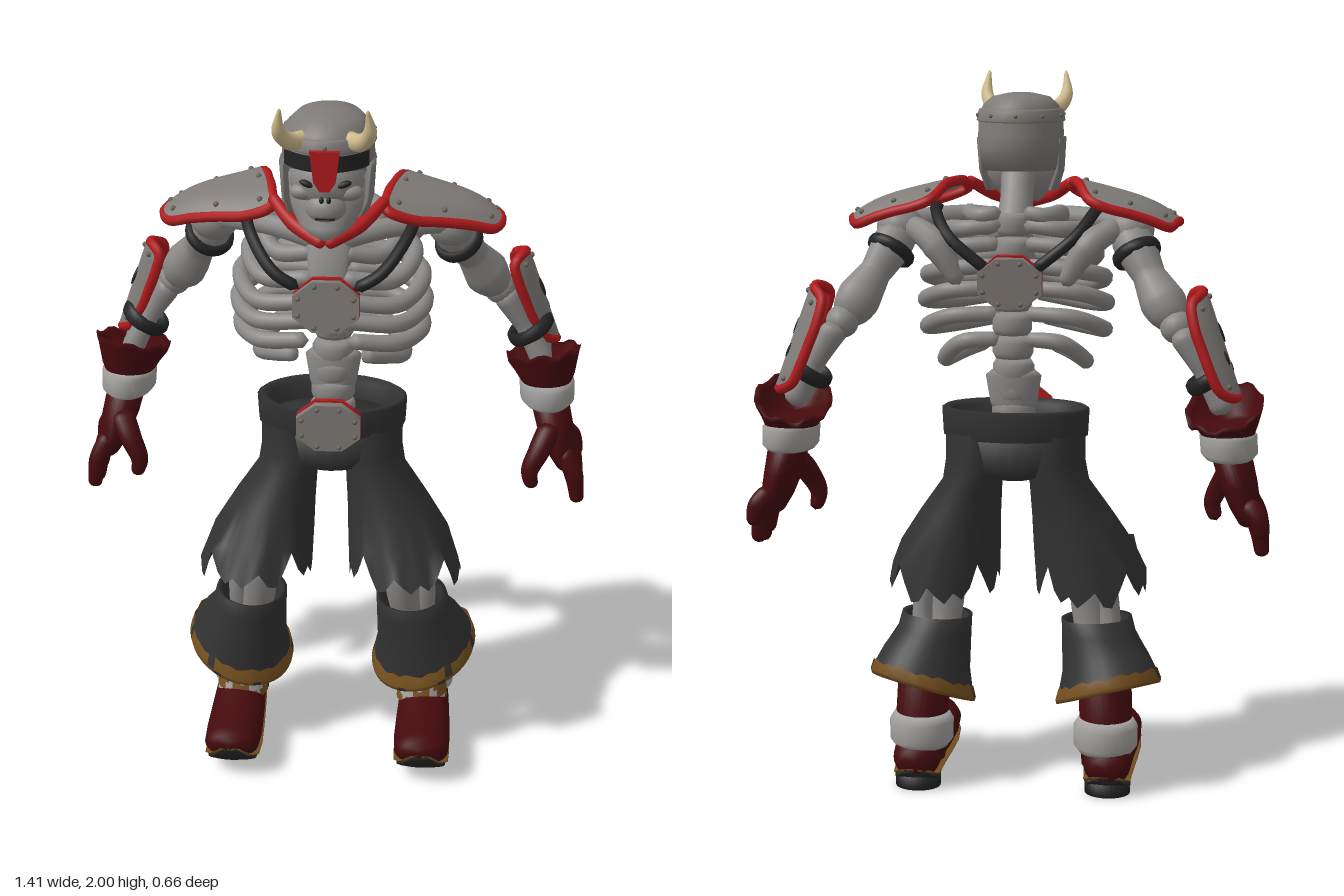
import * as THREE from 'three';
import { mergeVertices } from 'three/addons/utils/BufferGeometryUtils.js';

const paint = (name, color, double) => Object.assign(new THREE.MeshStandardMaterial({ color }),
  { name, side: double ? THREE.DoubleSide : THREE.FrontSide });
const bone = paint('bone', 0x8b8987), steel = paint('steel', 0x7f7b78, true), pale = paint('pale band', 0xa4a2a0);
const red = paint('red trim', 0xb01a1c), wine = paint('dark red leather', 0x450a0d, true);
const cloth = paint('dark cloth', 0x323232, true), black = paint('black leather', 0x232324);
const horn = paint('horn', 0xcfba8c), brown = paint('worn brown', 0x76501f, true), brass = paint('rivet metal', 0x6b6358);
const V = (a) => new THREE.Vector3(...a);

function add(parent, name, geo, mat, pos = [0, 0, 0], scale = [1, 1, 1], rot = [0, 0, 0]) {
  const m = new THREE.Mesh(geo, mat);
  m.name = name;
  m.position.set(...pos); m.scale.set(...scale); m.rotation.set(...rot);
  parent.add(m);
  return m;
}
const ball = (p, name, mat, pos, scale) => add(p, name, new THREE.SphereGeometry(1, 18, 12), mat, pos, scale);
const rivet = (p, pos, r = 0.008) => add(p, 'rivet', new THREE.SphereGeometry(r, 8, 6), brass, pos);

// Skin over elliptical rings [x, y, z, rx, rz], listed upwards; warp(p, j, i) may move a point
function loft(rings, { seg = 28, cap = true, warp } = {}) {
  if (cap) {
    const end = (r) => [r[0], r[1], r[2], 0.001, 0.001];
    rings = [end(rings[0]), ...rings, end(rings[rings.length - 1])];
  }
  const pos = [], idx = [];
  rings.forEach(([x, y, z, rx, rz], i) => {
    for (let j = 0; j < seg; j++) {
      const a = j / seg * Math.PI * 2, p = V([x + Math.cos(a) * rx, y, z + Math.sin(a) * rz]);
      if (warp) warp(p, j, i);
      pos.push(p.x, p.y, p.z);
      if (i === rings.length - 1) continue;
      const q = i * seg + j, r = i * seg + (j + 1) % seg;
      idx.push(q, q + seg, r, r, q + seg, r + seg);
    }
  });
  const g = new THREE.BufferGeometry();
  g.setAttribute('position', new THREE.Float32BufferAttribute(pos, 3));
  g.setIndex(idx);
  g.computeVertexNormals();
  return g;
}

// Worn paint: give a share of a loft's faces the first material, the rest the second
function patchy(g, share) {
  for (let q = 0; q < g.index.count / 6; q++) g.addGroup(q * 6, 6, (q * q * 3 + q * 5 + (q >> 4) * 7) % 23 < 23 * share ? 0 : 1);
  return g;
}

// Round-ended tube with changing radius along a smooth path
function limb(pts, radii, closed = false, n = 26, seg = 10) {
  const curve = new THREE.CatmullRomCurve3(pts.map(V), closed), len = curve.getLength();
  const g = new THREE.TubeGeometry(curve, n, 1, seg, closed), P = g.attributes.position, p = V([0, 0, 0]);
  for (let i = 0; i < P.count; i++) {
    const t = Math.floor(i / (seg + 1)) / n, c = curve.getPointAt(t), f = t * (radii.length - 1);
    const k = Math.min(Math.floor(f), radii.length - 1), r0 = radii[k], r1 = radii[Math.min(k + 1, radii.length - 1)];
    let r = r0 + (r1 - r0) * (f - k);
    const d = len * Math.min(t, 1 - t);
    if (!closed && d < r) r *= Math.sqrt(1 - (1 - d / r) ** 2);
    p.fromBufferAttribute(P, i).sub(c).multiplyScalar(r).add(c);
    P.setXYZ(i, p.x, p.y, p.z);
  }
  g.deleteAttribute('uv'); g.deleteAttribute('normal');
  const m = mergeVertices(g, 1e-5);
  m.computeVertexNormals();
  return m;
}

// Curved armour sheet fn(u, v) with rounded corners, a red rim set behind it by back, and rivets
function armour(parent, name, sheet, back, rivets) {
  const grp = new THREE.Group();
  grp.name = name;
  const fn = (u, v) => {
    const a = 2 * u - 1, b = 2 * v - 1;
    return sheet(0.5 + a * 0.5 * (1 - 0.1 * b ** 4), 0.5 + b * 0.5 * (1 - 0.1 * a ** 4));
  };
  const g = new THREE.PlaneGeometry(1, 1, 14, 14), P = g.attributes.position;
  for (let i = 0; i < P.count; i++) P.setXYZ(i, ...fn(P.getX(i) + 0.5, P.getY(i) + 0.5));
  g.computeVertexNormals();
  add(grp, name + 'Plate', g, steel);
  const edge = [], s = [0.03, 0.25, 0.5, 0.75];
  s.forEach((t) => edge.push(fn(t, 0)));
  s.forEach((t) => edge.push(fn(1, t)));
  s.forEach((t) => edge.push(fn(1 - t, 1)));
  s.forEach((t) => edge.push(fn(0, 1 - t)));
  add(grp, name + 'Rim', limb(edge.map((p) => p.map((c, i) => c + back[i])), [0.014, 0.014], true, 72, 8), red);
  rivets.forEach(([u, v]) => rivet(grp, fn(u, v)));
  parent.add(grp);
}

// Eight-sided plate with red backing
function badge(parent, name, pos, tilt, turn = 0) {
  const grp = new THREE.Group();
  grp.name = name;
  const disc = (r, h) => new THREE.CylinderGeometry(r, r, h, 8).rotateY(Math.PI / 8).rotateX(Math.PI / 2);
  add(grp, name + 'Face', disc(0.09, 0.022), steel, [0, 0, 0.006], [1.04, 0.82, 1]);
  add(grp, name + 'Backing', disc(0.09, 0.014), red, [0, 0, -0.012], [1.04, 0.88, 1]);
  for (let i = 0; i < 8; i++) {
    const a = (i + 0.5) * Math.PI / 4;
    rivet(grp, [Math.cos(a) * 0.078, Math.sin(a) * 0.06, 0.018], 0.007);
  }
  grp.position.set(...pos); grp.rotation.set(tilt, turn, 0);
  parent.add(grp);
}

function ring(parent, name, mat, pos, dir, r, tube, flat = 1) {
  const m = add(parent, name, new THREE.TorusGeometry(r, tube, 8, 24), mat, pos, [1, 1, flat]);
  m.quaternion.setFromUnitVectors(V([0, 0, 1]), V(dir).normalize());
}

function buildHead(g) {
  add(g, 'helmet', loft([[0, 1.735, 0.115, 0.1, 0.08], [0, 1.8, 0.13, 0.116, 0.112], [0, 1.83, 0.152, 0.119, 0.13],
    [0, 1.875, 0.152, 0.117, 0.13], [0, 1.91, 0.148, 0.105, 0.12], [0, 1.933, 0.142, 0.08, 0.095], [0, 1.943, 0.14, 0.035, 0.05]]), steel);
  add(g, 'helmetBand', loft([[0, 1.866, 0.152, 0.119, 0.132], [0, 1.87, 0.152, 0.123, 0.137], [0, 1.898, 0.151, 0.117, 0.132],
    [0, 1.902, 0.15, 0.108, 0.123]], { cap: false }), steel);
  for (let i = 0; i < 10; i++) {
    const a = (i + 0.5) * Math.PI / 5;
    rivet(g, [Math.cos(a) * 0.12, 1.884, 0.151 + Math.sin(a) * 0.134], 0.006);
  }
  // Visor slots and nose guard
  for (const a of [-1.05, 0.25])
    add(g, 'visorSlot', new THREE.CylinderGeometry(0.124, 0.124, 0.042, 12, 1, true, a, 0.8), black, [0, 1.843, 0.152], [1, 1, 1.09]);
  const nose = new THREE.Shape([[-0.038, 0.05], [0.038, 0.05], [0.028, -0.03], [0.012, -0.055], [-0.012, -0.055], [-0.028, -0.03]].map((p) => new THREE.Vector2(...p)));
  add(g, 'noseGuard', new THREE.ExtrudeGeometry(nose, { depth: 0.014, bevelEnabled: false }), red, [0, 1.83, 0.284]);
  // Skull face
  ball(g, 'skull', bone, [0, 1.775, 0.175], [0.102, 0.085, 0.1]);
  ball(g, 'muzzle', bone, [0, 1.715, 0.235], [0.055, 0.045, 0.052]);
  add(g, 'jaw', loft([[0, 1.64, 0.24, 0.045, 0.045], [0, 1.67, 0.215, 0.075, 0.07], [0, 1.715, 0.18, 0.1, 0.08], [0, 1.79, 0.17, 0.108, 0.08]]), bone);
  add(g, 'mouth', new THREE.BoxGeometry(0.05, 0.004, 0.02), black, [0, 1.698, 0.276]);
  for (const s of [-1, 1]) {
    add(g, 'eyeSocket', new THREE.SphereGeometry(1, 12, 8), black, [s * 0.045, 1.783, 0.26], [0.022, 0.009, 0.011], [0, 0, s * 0.3]);
    ball(g, 'cheekbone', bone, [s * 0.058, 1.755, 0.235], [0.035, 0.022, 0.027]);
    ball(g, 'nostril', black, [s * 0.009, 1.745, 0.275], [0.006, 0.009, 0.007]);
    add(g, 'cheekGuard', loft([[s * 0.088, 1.675, 0.175, 0.014, 0.03], [s * 0.106, 1.73, 0.175, 0.012, 0.055], [s * 0.111, 1.82, 0.17, 0.012, 0.07]]), steel);
    add(g, 'horn', limb([[s * 0.045, 1.893, 0.22], [s * 0.085, 1.895, 0.265], [s * 0.112, 1.93, 0.3], [s * 0.108, 2, 0.325]],
      [0.024, 0.023, 0.017, 0.003]), horn);
    add(g, 'chinTrim', limb([[s * 0.15, 1.705, 0.14], [s * 0.085, 1.66, 0.22], [0, 1.628, 0.283]], [0.015, 0.019, 0.016]), red);
  }
  add(g, 'neck', limb([[0, 1.57, -0.03], [0, 1.66, 0.04], [0, 1.76, 0.12]], [0.05, 0.045, 0.05]), bone);
}

function buildTorso(g) {
  const spine = new THREE.CatmullRomCurve3([[0, 1.03, -0.02], [0, 1.2, -0.03], [0, 1.4, -0.07], [0, 1.6, -0.03]].map(V));
  for (let i = 0; i < 10; i++) {
    const p = spine.getPoint(i / 9), r = 0.062 - i * 0.0015;
    add(g, 'vertebra', loft([[0, -0.03, 0, r * 0.85, r * 0.7], [0, -0.015, 0, r, r * 0.85], [0, 0.015, 0, r, r * 0.85], [0, 0.03, 0, r * 0.85, r * 0.7]], { seg: 16 }), bone, p.toArray());
  }
  add(g, 'lumbarBlock', loft([[0, 1.09, -0.025, 0.058, 0.04], [0, 1.11, -0.025, 0.065, 0.045], [0, 1.185, -0.03, 0.077, 0.048], [0, 1.2, -0.03, 0.06, 0.04]]), bone);
  // Ribs: back, side and front heights, half width, front depth, inner end
  const ribs = [[1.635, 1.625, 1.6, 0.125, 0.12, 0.03], [1.6, 1.58, 1.56, 0.18, 0.16, 0.03], [1.55, 1.52, 1.5, 0.22, 0.19, 0.03], [1.49, 1.455, 1.44, 0.243, 0.205, 0.03],
    [1.43, 1.385, 1.385, 0.25, 0.205, 0.03], [1.36, 1.31, 1.32, 0.245, 0.185, 0.05], [1.29, 1.22, 1.255, 0.195, 0.13, 0.085]];
  for (const s of [-1, 1]) {
    for (const [yb, ym, yf, w, zf, e] of ribs)
      add(g, 'rib', limb([[s * 0.03, yb, -0.06], [s * w * 0.7, yb - 0.01, -0.065], [s * w, ym, 0.02], [s * w * 0.78, yf - 0.02, zf - 0.05], [s * e, yf, zf]],
        [0.02, 0.023, 0.023, 0.023, 0.021], false, 30, 10), bone);
    add(g, 'collarbone', limb([[s * 0.02, 1.59, 0.15], [s * 0.14, 1.61, 0.11], [s * 0.31, 1.6, 0.02]], [0.03, 0.027, 0.03]), bone);
    add(g, 'shoulderBlade', limb([[s * 0.29, 1.6, -0.03], [s * 0.21, 1.55, -0.075], [s * 0.14, 1.44, -0.085]], [0.03, 0.04, 0.02]), bone);
    add(g, 'strap', limb([[s * 0.07, 1.49, 0.24], [s * 0.14, 1.53, 0.225], [s * 0.21, 1.61, 0.13], [s * 0.22, 1.635, 0.02], [s * 0.17, 1.57, -0.09], [s * 0.06, 1.48, -0.11]],
      [0.016, 0.016], false, 36), black);
  }
  add(g, 'sternum', loft([[0, 1.34, 0.19, 0.025, 0.015], [0, 1.46, 0.205, 0.045, 0.018], [0, 1.6, 0.15, 0.06, 0.02]]), bone);
  badge(g, 'chestBadge', [0, 1.446, 0.247], -0.08);
  badge(g, 'backBadge', [0, 1.45, -0.118], -0.1, Math.PI);
}

function buildArm(g) {
  // Shoulder plate arched front to back, sloping outwards
  const mix = (a, b, t) => a + (b - a) * t;
  armour(g, 'shoulderPlate', (u, v) => {
    const c = Math.abs(2 * v - 1) ** 3;
    return [mix(mix(0.205, 0.435, u), mix(0.135, 0.455, u), v), mix(1.72, 1.655, u) - c * 0.045 * (1 - 0.3 * u) - 0.035 * u ** 5, mix(mix(-0.13, -0.075, u), mix(0.185, 0.06, u), v)];
  }, [-0.003, -0.011, 0], [[0.1, 0.1], [0.1, 0.9], [0.9, 0.12], [0.9, 0.88], [0.5, 0.08], [0.5, 0.92], [0.95, 0.5], [0.08, 0.5]]);
  ball(g, 'shoulderJoint', bone, [0.315, 1.585, -0.005], [0.065, 0.06, 0.065]);
  add(g, 'upperArm', limb([[0.3, 1.6, 0], [0.36, 1.49, -0.07], [0.45, 1.34, -0.15]], [0.055, 0.058, 0.045, 0.063, 0.05]), bone);
  ring(g, 'armStrap', black, [0.335, 1.525, -0.04], [0.4, -0.75, -0.45], 0.057, 0.012, 1.5);
  ball(g, 'elbow', bone, [0.45, 1.345, -0.155], [0.045, 0.045, 0.05]);
  for (const z of [-0.14, -0.195])
    add(g, 'forearmBone', limb([[0.455, 1.345, z], [0.52, 1.24, z - 0.005], [0.585, 1.12, z]], [0.038, 0.026, 0.036]), bone);
  ring(g, 'forearmStrap', black, [0.54, 1.215, -0.178], [0.55, -0.83, 0], 0.058, 0.012, 1.8);
  const guard = (u, v) => {
    const w = 2 * u - 1, h = 2 * v - 1;
    return [0.59 - 0.115 * v + 0.045 * (1 - w * w) + 0.01 * h, 1.31 + 0.135 * h * (1 - 0.08 * w * w) - 0.01 * w, -0.197 - w * 0.066 * (1 - 0.2 * h ** 4) + 0.016 * h];
  };
  armour(g, 'forearmGuard', guard, [-0.011, -0.003, 0], [[0.14, 0.1], [0.86, 0.1], [0.14, 0.9], [0.86, 0.9], [0.5, 0.95]]);
  for (const [u, v, r] of [[0.42, 0.6, 0.02], [0.65, 0.38, 0.014], [0.35, 0.25, 0.011]])
    add(g, 'wornSpot', new THREE.SphereGeometry(r, 7, 6), black, guard(u, v), [0.25, 1.5, 0.9], [0, 0, 0.4]);
  // Glove, its flared cuff dipping to the back
  add(g, 'gloveCuff', loft([[0.59, 1.06, -0.175, 0.07, 0.09], [0.585, 1.09, -0.18, 0.085, 0.105], [0.58, 1.125, -0.193, 0.1, 0.13], [0.58, 1.142, -0.195, 0.104, 0.138],
    [0.58, 1.13, -0.193, 0.088, 0.115], [0.585, 1.1, -0.18, 0.07, 0.09], [0.585, 1.1, -0.18, 0.001, 0.001]],
  { seg: 32, cap: false, warp: (p, j, i) => { if (i > 1 && i < 5) p.y += 0.28 * (p.z + 0.195) + 0.15 * (p.x - 0.58) + (j % 4 < 2 ? 0.005 : -0.005); } }), wine);
  add(g, 'wristBand', loft([[0.595, 0.998, -0.17, 0.064, 0.09], [0.595, 1.012, -0.17, 0.076, 0.106], [0.592, 1.06, -0.172, 0.077, 0.108], [0.59, 1.076, -0.173, 0.066, 0.094]]), pale);
  add(g, 'palm', loft([[0.652, 0.82, -0.15, 0.03, 0.075], [0.64, 0.86, -0.15, 0.042, 0.098], [0.62, 0.93, -0.15, 0.052, 0.098], [0.6, 1.01, -0.17, 0.055, 0.08]]), wine);
  [-0.065, -0.125, -0.185, -0.24].forEach((z, i) => {
    const d = [0, -0.01, 0, 0.06][i];
    add(g, 'finger', limb([[0.64, 0.89, -0.15 + (z + 0.15) * 0.8], [0.675, 0.82 + d * 0.5, z], [0.69, 0.73 + d, z + 0.004]], [0.028, 0.027, 0.019]), wine);
  });
  add(g, 'thumb', limb([[0.61, 0.96, -0.09], [0.575, 0.9, -0.04], [0.55, 0.84, -0.025], [0.562, 0.79, -0.03]], [0.035, 0.032, 0.026, 0.018]), wine);
}

function buildLeg(g) {
  // Torn trouser leg
  const tear = [0.07, 0.01, -0.02, 0, -0.03, -0.01, 0.015, -0.025, -0.03, 0.02];
  add(g, 'trouserLeg', loft([[0.21, 0.625, 0.078, 0.157, 0.187], [0.19, 0.69, 0.062, 0.142, 0.162], [0.16, 0.78, 0.045, 0.115, 0.134], [0.122, 0.88, 0.03, 0.083, 0.115], [0.1, 0.94, 0.02, 0.095, 0.113], [0.1, 1.02, 0.02, 0.095, 0.105]],
    { seg: 40, cap: false, warp: (p, j, i) => { if (i === 0) p.y += tear[(j + 5) % 10] + 0.14 * (p.z - 0.08) - 0.08 * (p.x - 0.21) * (p.x < 0.21 ? -0.7 : 1) - 0.02; } }), cloth);
  add(g, 'thighBone', limb([[0.11, 0.95, 0.02], [0.17, 0.78, 0.04], [0.21, 0.6, 0.065]], [0.05, 0.045, 0.07]), bone);
  ball(g, 'knee', bone, [0.21, 0.6, 0.068], [0.072, 0.06, 0.068]);
  add(g, 'shinBone', limb([[0.2, 0.6, 0.07], [0.205, 0.48, 0.06], [0.245, 0.25, 0.0]], [0.055, 0.042, 0.045]), bone);
  add(g, 'calfBone', limb([[0.26, 0.58, 0.03], [0.268, 0.48, 0.03], [0.26, 0.25, -0.02]], [0.028, 0.03, 0.028]), bone);
  // Wide boot cuff, hem tilted
  const tilt = (p, k) => { p.y += k * ((p.x - 0.26) * 0.26 - (p.z - 0.015) * 0.3); };
  add(g, 'bootCuff', loft([[0.264, 0.3, 0.015, 0.14, 0.14], [0.255, 0.36, 0.03, 0.122, 0.124], [0.235, 0.44, 0.045, 0.105, 0.106], [0.228, 0.485, 0.05, 0.1, 0.1], [0.228, 0.478, 0.05, 0.086, 0.086], [0.235, 0.4, 0.04, 0.08, 0.08]],
    { cap: false, warp: (p, j, i) => tilt(p, i < 2 ? 1 : 0.2) }), cloth);
  add(g, 'cuffHem', patchy(loft([[0.264, 0.285, 0.015, 0.125, 0.125], [0.265, 0.265, 0.014, 0.147, 0.149], [0.265, 0.278, 0.014, 0.15, 0.152], [0.264, 0.302, 0.015, 0.141, 0.141]],
    { seg: 40, cap: false, warp: (p, j, i) => { tilt(p, 1); if (i === 3) p.y += (j * 7 % 5) * 0.003; } }), 0.9), [brown, cloth]);
  // Boot
  add(g, 'bootShaft', loft([[0.265, 0.08, -0.045, 0.07, 0.07], [0.262, 0.2, -0.025, 0.075, 0.078], [0.255, 0.36, 0.0, 0.075, 0.08]]), wine);
  add(g, 'ankleBand', loft([[0.262, 0.115, -0.037, 0.075, 0.075], [0.262, 0.135, -0.037, 0.09, 0.09], [0.262, 0.19, -0.037, 0.091, 0.09], [0.262, 0.212, -0.035, 0.077, 0.08]]), pale);
  add(g, 'bootTongue', patchy(loft([0, 1, 2, 3, 4, 5, 6].map((i) => [0.264, 0.12 + i * 0.022, 0.03 - i * 0.006, 0.074 - i * 0.002, 0.068 - i * 0.0005]), { seg: 36, cap: false }), 0.7), [brown, pale]);
  const rows = [[-0.118, 0.085, 0.045, 0.035], [-0.09, 0.09, 0.066, 0.062], [0, 0.1, 0.072, 0.07], [0.1, 0.09, 0.077, 0.06], [0.2, 0.086, 0.08, 0.057], [0.27, 0.094, 0.077, 0.053], [0.305, 0.104, 0.06, 0.038], [0.317, 0.112, 0.03, 0.015]];
  const layer = (name, mat, grow, fn) => add(g, name, loft(rows.map(([z, y, rx, ry]) => [0.27, z, -fn(y, ry)[0], rx + grow, fn(y, ry)[1]])).rotateX(Math.PI / 2), mat);
  layer('shoe', wine, 0, (y, ry) => [y, ry]);
  layer('welt', brown, 0, (y, ry) => [y - ry * 0.72, 0.005]);
  layer('sole', black, -0.008, (y, ry) => [y - ry * 0.93, 0.012]);
  add(g, 'heel', loft([[0.27, 0, -0.06, 0.064, 0.055], [0.27, 0.045, -0.06, 0.066, 0.057]]), black);
}

export function createModel() {
  const model = new THREE.Group();
  model.name = 'armouredSkeleton';
  const part = (name, build, flip = 1) => {
    const g = new THREE.Group();
    g.name = name; g.scale.x = flip;
    build(g);
    model.add(g);
  };
  part('head', buildHead);
  part('torso', buildTorso);
  part('hips', (g) => {
    add(g, 'trouserSeat', loft([[0, 0.89, 0.022, 0.06, 0.07], [0, 0.905, 0.022, 0.12, 0.108], [0, 0.935, 0.022, 0.185, 0.122], [0, 1.03, 0.02, 0.195, 0.122]]), cloth);
    add(g, 'waistband', loft([[0, 1.0, 0.02, 0.185, 0.115], [0, 1.012, 0.02, 0.202, 0.126], [0, 1.085, 0.02, 0.206, 0.13], [0, 1.092, 0.02, 0.196, 0.122], [0, 1.08, 0.02, 0.172, 0.1], [0, 1.02, 0.02, 0.165, 0.095]], { cap: false }), cloth);
    badge(g, 'beltBuckle', [0, 1.06, 0.166], 0.02);
  });
  for (const [side, s] of [['left', 1], ['right', -1]]) {
    part(side + 'Arm', buildArm, s);
    part(side + 'Leg', buildLeg, s);
  }
  return model;
}
